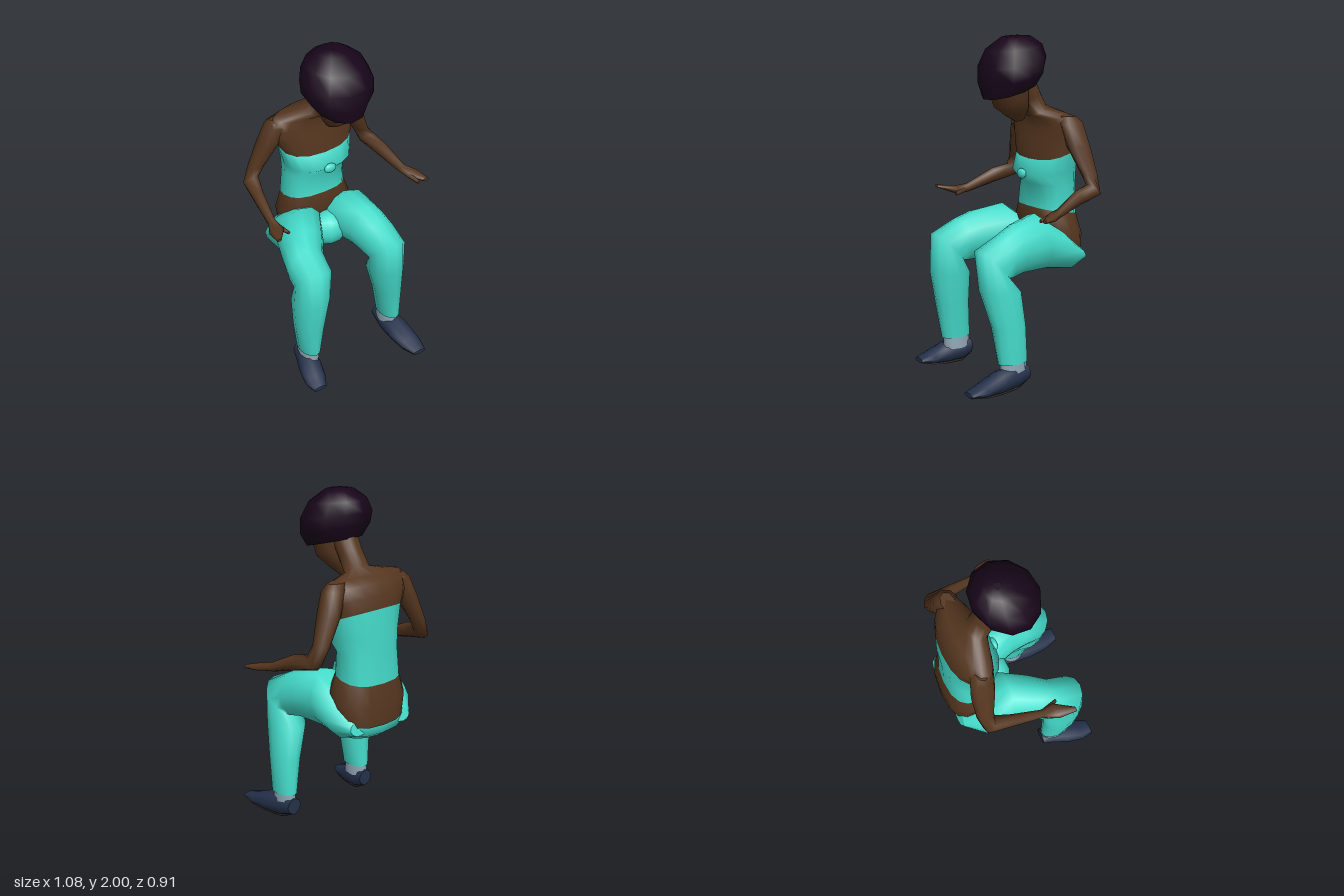
import * as THREE from 'three';

const mat = (name, color) => Object.assign(new THREE.MeshStandardMaterial({ color }), { name });

// Skin through rings [x, y, z, radiusX, radiusDepth, tiltDegrees, roundness].
// Tilt 0 is a level ring (path runs down), tilt 90 an upright one (path runs forward).
// Roundness 1 is an ellipse, less is boxier.
function loft(rings, n = 12) {
  const bend = (v, p) => Math.sign(v) * Math.abs(v) ** p;
  const rows = rings.map(([x, y, z, rx, rd, tilt, p = 1]) => {
    const a = THREE.MathUtils.degToRad(tilt);
    return Array.from({ length: n }, (_, j) => {
      const t = (j / n) * Math.PI * 2, d = bend(Math.sin(t), p) * rd;
      return [x + bend(Math.cos(t), p) * rx, y + Math.sin(a) * d, z + Math.cos(a) * d];
    });
  });
  // Each end is closed by a separate fan so its edge stays crisp
  const fan = (r) => Array.from({ length: n }, () => r.slice(0, 3));
  const last = rows.length - 1;
  const all = [fan(rings[0]), rows[0], ...rows, rows[last], fan(rings[last])];
  const index = [];
  for (let i = 0; i < all.length - 1; i++) {
    if (i === 1 || i === all.length - 3) continue; // between a side and its fan
    for (let j = 0; j < n; j++) {
      const a = i * n + j, b = i * n + ((j + 1) % n);
      if (i > 0) index.push(a, b, a + n);
      if (i < all.length - 2) index.push(b, b + n, a + n);
    }
  }
  const g = new THREE.BufferGeometry();
  g.setAttribute('position', new THREE.Float32BufferAttribute(all.flat(2), 3));
  g.setIndex(index);
  g.computeVertexNormals();
  return g;
}

export function createModel() {
  const skin = mat('brown skin', 0x55361f);
  const teal = mat('teal cloth', 0x45dccb);
  const hairMat = mat('dark plum hair', 0x18051a);
  const navy = mat('navy shoe', 0x25324c);
  const soleMat = mat('dark sole', 0x2e2a28);
  const grey = mat('pale sock', 0x93a9b8);

  const model = new THREE.Group();
  model.name = 'seatedFigure';
  const add = (name, geometry, material) => {
    const m = new THREE.Mesh(geometry, material);
    m.name = name;
    model.add(m);
  };
  const ball = (name, material, pos, scale) =>
    add(name, new THREE.SphereGeometry(1, 10, 8).scale(...scale).translate(...pos), material);

  // Head
  add('hair', loft([
    [-0.02, 2.0, -0.065, 0.02, 0.02, 0],
    [-0.02, 1.993, -0.055, 0.085, 0.085, -2],
    [-0.02, 1.935, -0.04, 0.165, 0.165, -6],
    [-0.02, 1.85, -0.028, 0.21, 0.197, -10],
    [-0.02, 1.77, -0.02, 0.207, 0.192, -14],
    [-0.02, 1.693, -0.01, 0.15, 0.172, -16],
  ], 11), hairMat);
  add('face', loft([
    [-0.02, 1.75, 0, 0.13, 0.13, -18],
    [-0.02, 1.64, -0.02, 0.11, 0.11, -25],
    [-0.025, 1.57, -0.065, 0.065, 0.08, -20],
    [-0.03, 1.51, -0.09, 0.02, 0.03, -15],
  ], 10), skin);

  // Torso, split where the top begins and ends
  const topEdge = [-0.02, 1.335, -0.275, 0.235, 0.142, -22, 0.85];
  const topHem = [-0.03, 0.975, -0.285, 0.195, 0.14, 10, 0.8];
  add('neckAndShoulders', loft([
    [-0.02, 1.74, -0.09, 0.075, 0.08, -30],
    [-0.02, 1.65, -0.145, 0.07, 0.068, -30],
    [-0.025, 1.565, -0.195, 0.08, 0.062, -30],
    [-0.035, 1.54, -0.245, 0.255, 0.08, -15],
    [-0.035, 1.49, -0.265, 0.29, 0.105, -20],
    [-0.03, 1.42, -0.275, 0.262, 0.13, -20, 0.9],
    topEdge,
  ], 16), skin);
  add('tubeTop', loft([
    topEdge,
    [-0.02, 1.215, -0.255, 0.21, 0.163, -6, 0.88],
    [-0.025, 1.13, -0.285, 0.187, 0.13, 2, 0.82],
    topHem,
  ], 16), teal);
  ball('topKnot', teal, [-0.02, 1.198, -0.095], [0.04, 0.03, 0.02]);
  add('hips', loft([
    topHem,
    [-0.025, 0.87, -0.29, 0.23, 0.163, 15, 0.8],
    [-0.02, 0.75, -0.3, 0.215, 0.15, 15, 0.8],
  ], 16), skin);
  add('trouserSeat', loft([
    [-0.025, 0.785, -0.272, 0.25, 0.178, 25, 0.8],
    [-0.02, 0.72, -0.265, 0.245, 0.178, 20, 0.8],
    [-0.02, 0.65, -0.24, 0.19, 0.145, 10, 0.9],
  ], 16), teal);
  ball('trouserFront', teal, [-0.02, 0.765, -0.11], [0.13, 0.11, 0.1]);

  // Trouser legs: hip, thigh, knee, shin, cuff
  add('rightTrouserLeg', loft([
    [-0.19, 0.715, -0.405, 0.06, 0.04, 70],
    [-0.21, 0.755, -0.28, 0.155, 0.13, 75],
    [-0.225, 0.815, -0.12, 0.155, 0.175, 82],
    [-0.295, 0.8, 0.04, 0.14, 0.15, 85],
    [-0.335, 0.77, 0.13, 0.12, 0.135, 80],
    [-0.345, 0.735, 0.22, 0.115, 0.13, 45],
    [-0.35, 0.58, 0.2, 0.11, 0.125, 4],
    [-0.355, 0.38, 0.185, 0.09, 0.105, 0],
    [-0.35, 0.17, 0.165, 0.06, 0.095, 0],
  ]), teal);
  add('leftTrouserLeg', loft([
    [0.14, 0.715, -0.405, 0.06, 0.04, 70],
    [0.125, 0.755, -0.28, 0.135, 0.13, 75],
    [0.11, 0.815, -0.12, 0.145, 0.17, 82],
    [0.14, 0.8, 0.05, 0.12, 0.15, 85],
    [0.155, 0.77, 0.14, 0.115, 0.135, 80],
    [0.16, 0.735, 0.235, 0.11, 0.13, 45],
    [0.18, 0.58, 0.19, 0.11, 0.125, 4],
    [0.22, 0.38, 0.16, 0.085, 0.105, 0],
    [0.24, 0.165, 0.145, 0.06, 0.095, 0],
  ]), teal);

  // Socks, shoes and soles: ankle x, toe x, heel z, length
  for (const [side, x, toeX, z, len] of [
    ['right', -0.35, -0.41, 0.07, 0.32],
    ['left', 0.24, 0.265, 0.05, 0.41],
  ]) {
    const along = (rings) => loft(
      rings.map(([t, y, u, ...r]) => [x + (toeX - x) * t, y, z + len * u, ...r]), 8);
    add(side + 'Sock', loft([
      [x, 0.2, z + 0.09, 0.055, 0.085, 0],
      [x, 0.1, z + 0.09, 0.055, 0.085, 0],
    ], 10), grey);
    add(side + 'Shoe', along([
      [0, 0.092, 0, 0.05, 0.05, 90],
      [0.1, 0.08, 0.2, 0.062, 0.072, 90],
      [0.45, 0.068, 0.48, 0.075, 0.066, 90],
      [0.8, 0.045, 0.77, 0.07, 0.037, 90],
      [1, 0.037, 1, 0.043, 0.014, 90],
    ]), navy);
    add(side + 'Sole', along([
      [0, 0.042, 0.01, 0.02, 0.004, 90],
      [0.1, 0.01, 0.2, 0.035, 0.005, 90],
      [0.45, 0.005, 0.48, 0.045, 0.005, 90],
      [0.8, 0.01, 0.77, 0.05, 0.005, 90],
      [1, 0.024, 0.99, 0.035, 0.003, 90],
    ]), soleMat);
  }

  // Arms: shoulder, upper arm, elbow, forearm, wrist, palm, fingertips
  add('rightArm', loft([
    [-0.245, 1.53, -0.27, 0.06, 0.04, 0],
    [-0.265, 1.495, -0.275, 0.064, 0.07, -5],
    [-0.313, 1.38, -0.292, 0.063, 0.072, 0],
    [-0.385, 1.23, -0.315, 0.045, 0.052, 5],
    [-0.425, 1.145, -0.31, 0.05, 0.05, 45],
    [-0.45, 1.115, -0.18, 0.036, 0.045, 80],
    [-0.47, 1.05, 0, 0.025, 0.027, 80],
    [-0.485, 1.045, 0.075, 0.048, 0.024, 95],
    [-0.53, 1.07, 0.18, 0.014, 0.008, 95],
  ], 8), skin);
  add('leftArm', loft([
    [0.185, 1.548, -0.27, 0.06, 0.04, 0],
    [0.215, 1.51, -0.275, 0.064, 0.07, -5],
    [0.263, 1.38, -0.292, 0.063, 0.072, 0],
    [0.335, 1.23, -0.315, 0.045, 0.052, 5],
    [0.385, 1.145, -0.31, 0.05, 0.05, 45],
    [0.41, 1.115, -0.18, 0.036, 0.045, 80],
    [0.445, 1.055, -0.03, 0.025, 0.027, 80],
    [0.475, 1.045, 0.04, 0.045, 0.024, 95],
    [0.515, 1.035, 0.12, 0.02, 0.01, 95],
  ], 8), skin);
  for (const [side, x0, x1, z] of [['right', -0.46, -0.425, 0.02], ['left', 0.45, 0.465, 0.03]])
    add(side + 'Thumb', loft([
      [x0, 1.045, z, 0.02, 0.018, 90],
      [x1, 1.03, z + 0.085, 0.01, 0.01, 90],
    ], 6), skin);

  return model;
}
